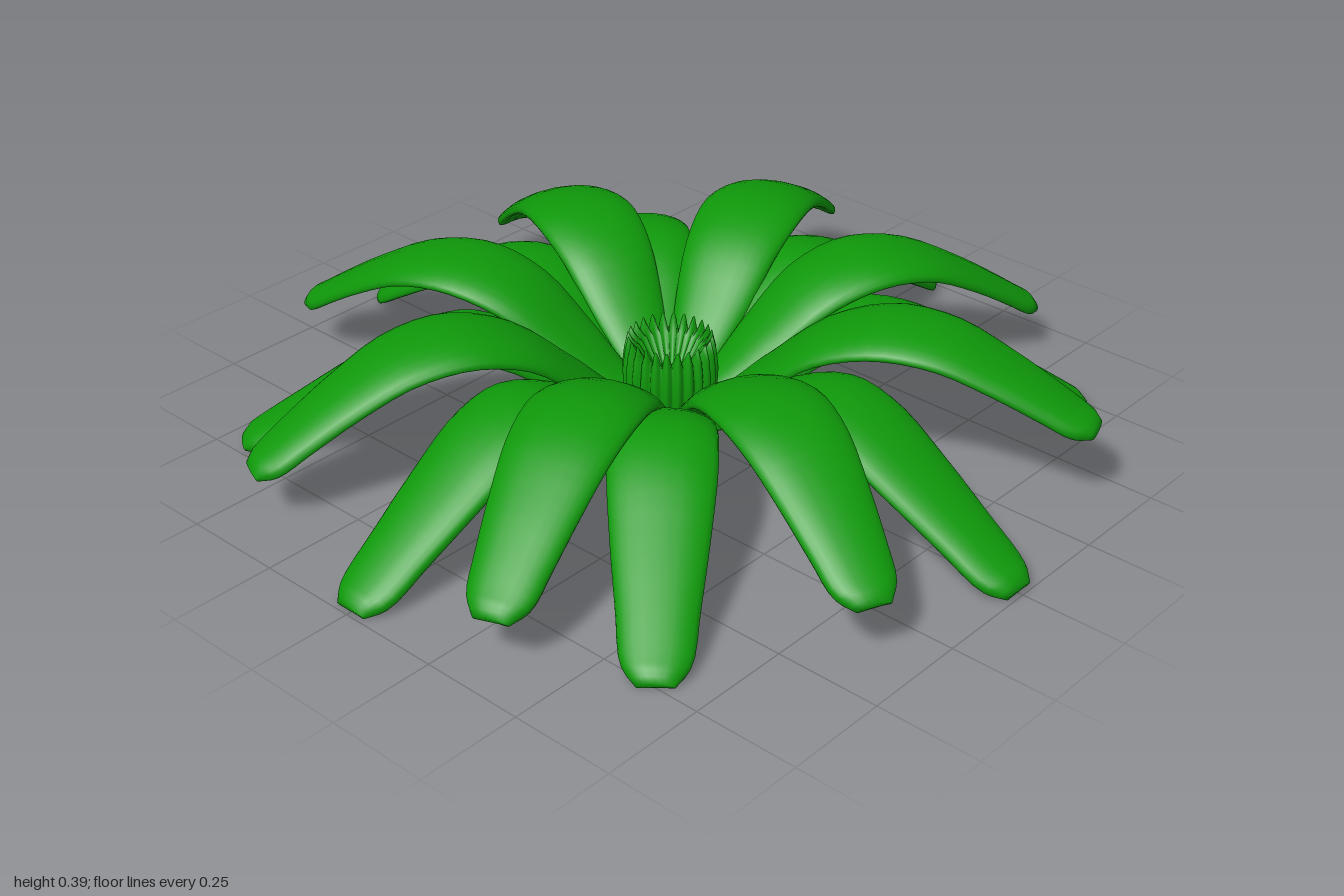
import * as THREE from 'three';

const green = new THREE.MeshStandardMaterial({ color: 0x0f980a, side: THREE.DoubleSide });

// Lofts a petal along local +z. Profile points are [distance, height, half width].
function petalGeometry(profile, bend, lift) {
  const steps = 30, sides = 24, thick = 0.022, hollow = 0.55, droop = 0.15;
  const curve = new THREE.CatmullRomCurve3(profile.map(p => new THREE.Vector3(...p)));
  const pos = [], index = [];
  const shape = v => Math.sign(v) * Math.abs(v) ** 0.75;
  for (let i = 0; i <= steps; i++) {
    const t = i / steps;
    const p = curve.getPoint(t), d = curve.getTangent(t);
    const len = Math.hypot(d.x, d.y);
    const ny = d.x / len, nz = -d.y / len;
    // thin towards the root, rounded off at the tip
    const h = thick * Math.min(1, 0.4 + t * 3) * Math.min(1, 0.5 + (1 - t) * 8);
    for (let j = 0; j < sides; j++) {
      const a = (j / sides) * Math.PI * 2;
      const u = shape(Math.cos(a)), v = shape(Math.sin(a));
      // hollow underside and edges that hang down a little
      const n = h * (v < 0 ? v + hollow * (1 - u * u) : v) - droop * p.z * u * u;
      pos.push(p.z * u + bend * Math.sin(Math.PI * Math.min(1, p.x)),
        p.y + lift * p.x * p.x + n * ny, p.x + n * nz);
    }
  }
  for (let i = 0; i < steps; i++) {
    for (let j = 0; j < sides; j++) {
      const a = i * sides + j, b = i * sides + (j + 1) % sides;
      index.push(a, b, a + sides, b, b + sides, a + sides);
    }
  }
  // end caps
  const last = steps * sides;
  for (let j = 1; j < sides - 1; j++) {
    index.push(0, j + 1, j, last, last + j, last + j + 1);
  }
  const g = new THREE.BufferGeometry();
  g.setAttribute('position', new THREE.Float32BufferAttribute(pos, 3));
  g.setIndex(index);
  g.computeVertexNormals();
  return g;
}

// Fluted cup with a toothed rim and a funnel inside
function cupGeometry() {
  const lobes = 24;
  const profile = [
    [0, 0.035], [0.045, 0.035], [0.08, 0.052], [0.1, 0.085], [0.11, 0.13],
    [0.112, 0.18], [0.107, 0.225], [0.098, 0.265], [0.08, 0.225], [0.045, 0.17], [0, 0.14],
  ].map(p => new THREE.Vector2(...p));
  const g = new THREE.LatheGeometry(profile, lobes * 8);
  const pos = g.attributes.position;
  for (let i = 0; i < pos.count; i++) {
    const x = pos.getX(i), y = pos.getY(i), z = pos.getZ(i);
    const wave = Math.abs(Math.sin(Math.atan2(x, z) * lobes / 2));
    const s = 0.9 + 0.1 * wave;
    const tooth = y > 0.24 ? 0.045 * (1 - wave) : 0;
    pos.setXYZ(i, x * s, y - tooth, z * s);
  }
  g.computeVertexNormals();
  return g;
}

const lowerProfile = [
  [0.02, 0.05, 0.02], [0.12, 0.08, 0.05], [0.24, 0.165, 0.085], [0.35, 0.25, 0.107],
  [0.46, 0.287, 0.117], [0.58, 0.262, 0.117], [0.72, 0.185, 0.104], [0.85, 0.105, 0.087],
  [0.95, 0.042, 0.072], [0.992, 0.018, 0.04],
];
const upperProfile = [
  [0.02, 0.065, 0.02], [0.12, 0.115, 0.055], [0.24, 0.215, 0.092], [0.36, 0.312, 0.115],
  [0.5, 0.354, 0.127], [0.64, 0.335, 0.12], [0.77, 0.27, 0.103], [0.88, 0.2, 0.086],
  [0.95, 0.152, 0.072], [0.99, 0.128, 0.04],
];

// heading in degrees from the front towards +x, sideways bend, tip lift
const lowerPetals = [[0], [47.5], [90], [140], [180], [-134], [-90], [-49.5]];
const upperPetals = [
  [24, 0, 0.07], [67.5, 0, -0.01], [109.2, 0, 0.02], [156.5, 0, -0.01],
  [-163.8, 0.04, 0], [-115.8, -0.02, 0], [-69, 0, 0], [-23.5, 0, 0.02],
];

export function createModel() {
  const model = new THREE.Group();
  model.name = 'flower';

  const addRow = (name, petals, profile) => {
    const row = new THREE.Group();
    row.name = name + 's';
    for (const [heading, bend = 0, lift = 0] of petals) {
      const petal = new THREE.Mesh(petalGeometry(profile, bend, lift), green);
      petal.name = name;
      petal.rotation.y = THREE.MathUtils.degToRad(heading);
      row.add(petal);
    }
    model.add(row);
  };
  addRow('lowerPetal', lowerPetals, lowerProfile);
  addRow('upperPetal', upperPetals, upperProfile);

  const cup = new THREE.Mesh(cupGeometry(), green);
  cup.name = 'flutedCentre';
  model.add(cup);

  return model;
}
